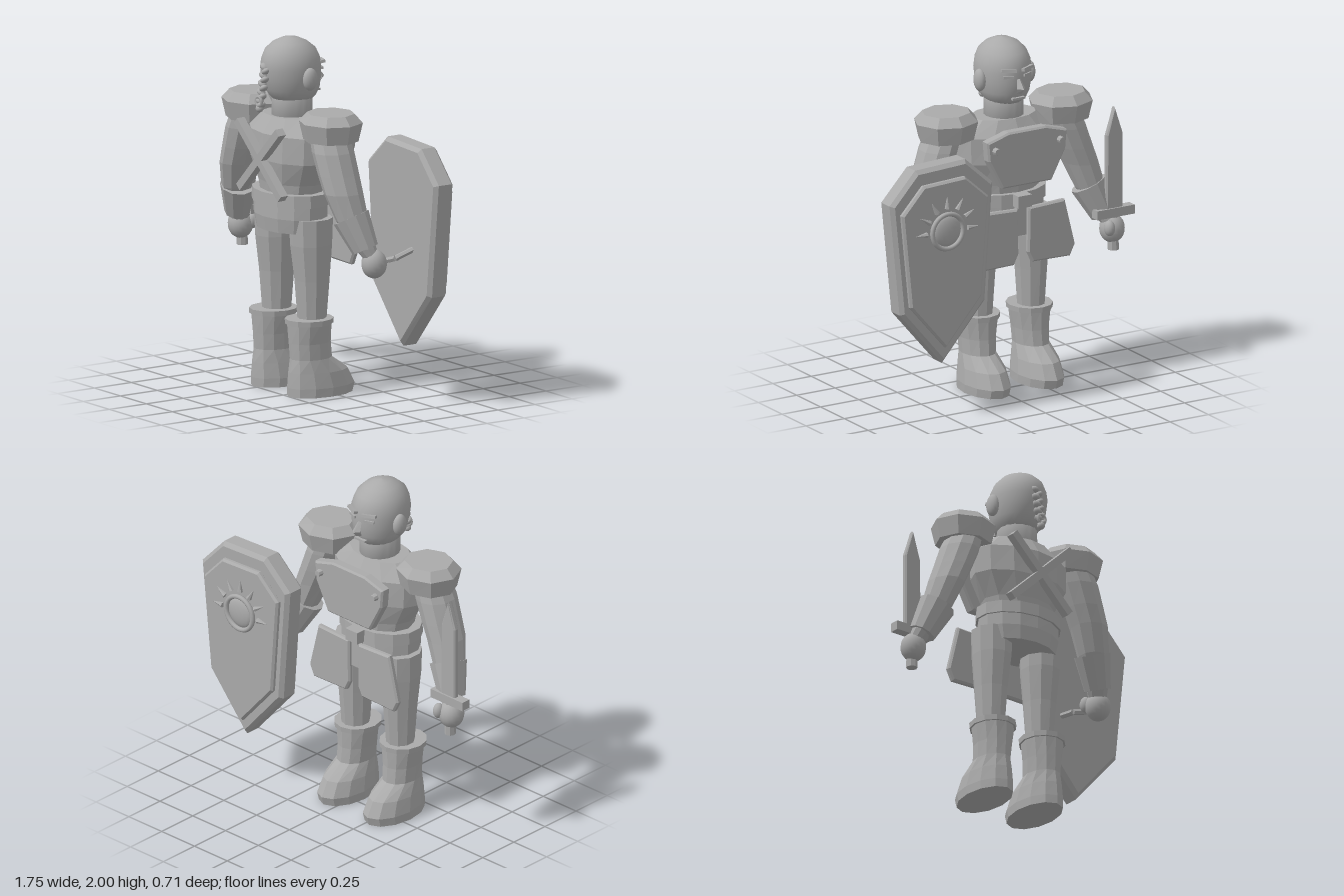
import * as THREE from 'three';
import { mergeVertices } from 'three/addons/utils/BufferGeometryUtils.js';

const CX = -0.107; // body centre line; the figure looks along -z

export function createModel() {
  const group = new THREE.Group();
  const grey = new THREE.MeshStandardMaterial({ color: 0xaaaaaa });
  grey.name = 'stone grey';

  const add = (name, geo) => {
    const mesh = new THREE.Mesh(geo, grey);
    mesh.name = name;
    group.add(mesh);
    return mesh;
  };
  const flat = (geo) => {
    const g = geo.index ? geo.toNonIndexed() : geo;
    g.computeVertexNormals();
    return g;
  };

  // Elliptical rings [y, cx, cz, rx, rz] listed from top to bottom
  function loft(name, rings, n = 10, smooth = false) {
    const k = rings.length - 1;
    let geo = new THREE.CylinderGeometry(1, 1, 1, n, k);
    const p = geo.attributes.position;
    for (let i = 0; i < p.count; i++) {
      const [y, cx, cz, rx, rz] = rings[Math.round((0.5 - p.getY(i)) * k)];
      p.setXYZ(i, cx + p.getX(i) * rx, y, cz + p.getZ(i) * rz);
    }
    if (!smooth) return add(name, flat(geo));
    geo.deleteAttribute('uv');
    geo.deleteAttribute('normal');
    geo = mergeVertices(geo);
    geo.computeVertexNormals();
    return add(name, geo);
  }
  // Flat outlined plate between z0 and z1 with a chamfer
  function plate(name, pts, z0, z1, b = 0.01) {
    const geo = new THREE.ExtrudeGeometry(new THREE.Shape(pts.map((q) => new THREE.Vector2(...q))), {
      depth: z1 - z0 - 2 * b, bevelEnabled: true, bevelThickness: b, bevelSize: b, bevelOffset: -b, bevelSegments: 1,
    });
    geo.translate(0, 0, z0 + b);
    return add(name, geo);
  }
  function rod(name, a, b, ra, rb, n = 8) {
    const A = new THREE.Vector3(...a), B = new THREE.Vector3(...b), d = B.clone().sub(A);
    const mesh = add(name, flat(new THREE.CylinderGeometry(rb, ra, d.length(), n)));
    mesh.position.copy(A).addScaledVector(d, 0.5);
    mesh.quaternion.setFromUnitVectors(new THREE.Vector3(0, 1, 0), d.normalize());
    return mesh;
  }
  function ball(name, pos, scale) {
    const mesh = add(name, new THREE.SphereGeometry(1, 16, 12));
    mesh.position.set(...pos);
    mesh.scale.set(...scale);
    return mesh;
  }
  function box(name, size, pos, rot = [0, 0, 0]) {
    const mesh = add(name, new THREE.BoxGeometry(...size));
    mesh.position.set(...pos);
    mesh.rotation.set(...rot);
    return mesh;
  }

  // Torso, belt and hips
  loft('torso', [
    [1.56, CX, 0.12, 0.2, 0.13], [1.47, CX, 0.125, 0.305, 0.185], [1.32, CX, 0.125, 0.3, 0.19],
    [1.19, CX, 0.12, 0.225, 0.165], [1.1, CX, 0.12, 0.2, 0.155],
  ], 12);
  loft('belt', [[1.14, CX, 0.125, 0.26, 0.19], [1.07, CX, 0.125, 0.262, 0.192]], 14);
  loft('hips', [[1.08, CX, 0.125, 0.25, 0.18], [1.0, CX, 0.125, 0.25, 0.182], [0.92, CX, 0.125, 0.23, 0.17]], 14);
  box('buckle', [0.09, 0.07, 0.06], [CX, 1.105, -0.085]);
  box('beltStrip', [0.06, 0.2, 0.04], [CX, 1.0, -0.06]);

  // Chest plate and crossed back straps
  plate('chestPlate', [[-0.26, 1.49], [-0.12, 1.53], [0.12, 1.53], [0.26, 1.49], [0.25, 1.38],
    [0.16, 1.21], [-0.16, 1.21], [-0.25, 1.38]].map(([x, y]) => [CX + x, y]), -0.14, -0.075);
  for (const s of [1, -1]) box('backStrap', [0.045, 0.55, 0.05], [CX, 1.325, 0.325], [0.04, 0, s * 0.81]);

  // Neck and head
  loft('neck', [[1.7, CX, 0.115, 0.11, 0.115], [1.52, CX, 0.115, 0.112, 0.118]], 16, true);
  loft('head', [
    [2.0, CX, 0.13, 0.001, 0.001], [1.993, CX, 0.13, 0.045, 0.048], [1.97, CX, 0.13, 0.092, 0.1],
    [1.93, CX, 0.128, 0.13, 0.148], [1.88, CX, 0.126, 0.15, 0.169], [1.83, CX, 0.125, 0.157, 0.175],
    [1.77, CX, 0.12, 0.153, 0.17], [1.71, CX, 0.115, 0.142, 0.158], [1.67, CX, 0.11, 0.122, 0.135],
    [1.64, CX, 0.11, 0.095, 0.105],
  ], 24, true);
  const nose = loft('nose', [[1.8, CX, -0.045, 0.012, 0.012], [1.75, CX, -0.072, 0.026, 0.03], [1.72, CX, -0.055, 0.02, 0.02]], 4);
  nose.name = 'nose';
  box('mouth', [0.08, 0.012, 0.02], [CX, 1.685, -0.04]);
  for (const s of [1, -1]) {
    ball('ear', [CX + s * 0.16, 1.78, 0.105], [0.032, 0.064, 0.045]);
    box('eyebrow', [0.085, 0.016, 0.03], [CX + s * 0.06, 1.852, -0.038], [0.2, s * -0.35, s * 0.12]);
    box('eye', [0.06, 0.014, 0.02], [CX + s * 0.06, 1.815, -0.034], [0, s * -0.35, 0]);
  }

  // Braid of alternating slanted strands, tied with a ring
  for (let i = 0; i < 10; i++) {
    const t = i / 9, s = i % 2 ? 1 : -1;
    const strand = ball('braidStrand', [CX + s * 0.009, 1.845 - 0.21 * t, 0.295 + 0.035 * t], [0.027, 0.017, 0.024]);
    strand.rotation.z = s * 0.6;
  }
  const ring = add('braidRing', new THREE.TorusGeometry(0.026, 0.009, 6, 14));
  ring.position.set(CX, 1.655, 0.34);
  ball('braidTip', [CX, 1.615, 0.335], [0.022, 0.022, 0.022]);

  // Paired parts
  for (const s of [1, -1]) {
    const X = (d) => CX + s * d;
    loft('shoulderPad', [
      [1.63, X(0.373), 0.115, 0.14, 0.13], [1.58, X(0.373), 0.115, 0.187, 0.175], [1.475, X(0.373), 0.115, 0.163, 0.15],
    ], 8);
    loft('arm', [
      [1.53, X(0.37), 0.13, 0.1, 0.11], [1.42, X(0.415), 0.13, 0.11, 0.122], [1.3, X(0.46), 0.125, 0.105, 0.12],
      [1.2, X(0.5), 0.12, 0.1, 0.115], [1.05, X(0.55), 0.095, 0.085, 0.095], [0.9, X(0.61), 0.05, 0.062, 0.062],
      [0.84, X(0.635), 0.02, 0.05, 0.05],
    ], 10);
    rod('bracer', [X(0.612), 0.89, 0.05], [X(0.54), 1.065, 0.095], 0.076, 0.105, 10);
    ball('hand', [X(0.643), 0.81, 0.012], [0.072, 0.082, 0.072]);
    ball('thumb', [X(0.595), 0.83, -0.04], [0.03, 0.045, 0.035]);

    loft('leg', [
      [1.0, X(0.168), 0.105, 0.115, 0.125], [0.85, X(0.168), 0.105, 0.11, 0.12], [0.65, X(0.17), 0.1, 0.092, 0.1],
      [0.4, X(0.17), 0.1, 0.076, 0.08],
    ], 10);
    loft('bootCuff', [[0.435, X(0.172), 0.12, 0.128, 0.14], [0.405, X(0.172), 0.12, 0.126, 0.138]], 12);
    loft('boot', [
      [0.42, X(0.172), 0.12, 0.117, 0.128], [0.3, X(0.172), 0.117, 0.1, 0.124], [0.21, X(0.174), 0.11, 0.095, 0.126],
      [0.135, X(0.174), 0.062, 0.112, 0.187], [0.05, X(0.174), 0.043, 0.124, 0.213], [0, X(0.174), 0.05, 0.122, 0.205],
    ], 12);

    // Hanging hip plate
    plate('hipPlate', [[0.035, 1.06], [0.27, 1.07], [0.337, 0.8], [0.305, 0.735], [0.06, 0.74], [0.03, 0.8]]
      .map(([x, y]) => [X(x), y]), -0.1, -0.062);
    rod('chestStud', [X(0.21), 1.44, -0.135], [X(0.21), 1.44, -0.168], 0.022, 0.017, 8);
  }

  // Sword in the right hand
  plate('swordBlade', [[-0.805, 0.92], [-0.695, 0.92], [-0.7, 1.36], [-0.752, 1.52], [-0.805, 1.36]], -0.02, 0.015, 0.008);
  box('swordGuard', [0.243, 0.052, 0.056], [-0.751, 0.91, -0.002]);
  rod('swordGrip', [-0.751, 0.69, 0], [-0.751, 0.91, 0], 0.032, 0.028, 8);

  // Shield with raised face and half-sun ornament
  const SX = 0.535, SY = 1.1;
  const outline = [[0.385, 1.48], [0.71, 1.465], [0.876, 1.285], [0.81, 0.64], [SX, 0.32], [0.258, 0.64], [0.207, 1.32]];
  const scaled = (k) => outline.map(([x, y]) => [SX + (x - SX) * k, 0.93 + (y - 0.93) * k]);
  plate('shieldBody', outline, -0.295, -0.165, 0.022);
  plate('shieldFace', scaled(0.84), -0.325, -0.285, 0.012);
  const sunRing = add('sunRing', new THREE.TorusGeometry(0.1, 0.014, 8, 28));
  sunRing.position.set(SX, SY, -0.337);
  ball('sunDisc', [SX, SY, -0.325], [0.09, 0.09, 0.027]);
  for (let i = 0; i < 7; i++) {
    const a = (i / 6) * Math.PI, c = Math.cos(a), n = Math.sin(a);
    rod('sunRay', [SX + 0.132 * c, SY + 0.132 * n, -0.332], [SX + 0.2 * c, SY + 0.2 * n, -0.332], 0.016, 0.002, 6);
  }

  // Shield handle
  const path = new THREE.CurvePath();
  const pts = [[0.42, 0.79, -0.175], [0.44, 0.79, -0.09], [0.6, 0.84, -0.09], [0.65, 0.89, -0.175]];
  for (let i = 0; i < 3; i++) rod('shieldHandle', pts[i], pts[i + 1], 0.017, 0.017, 6);

  return group;
}
